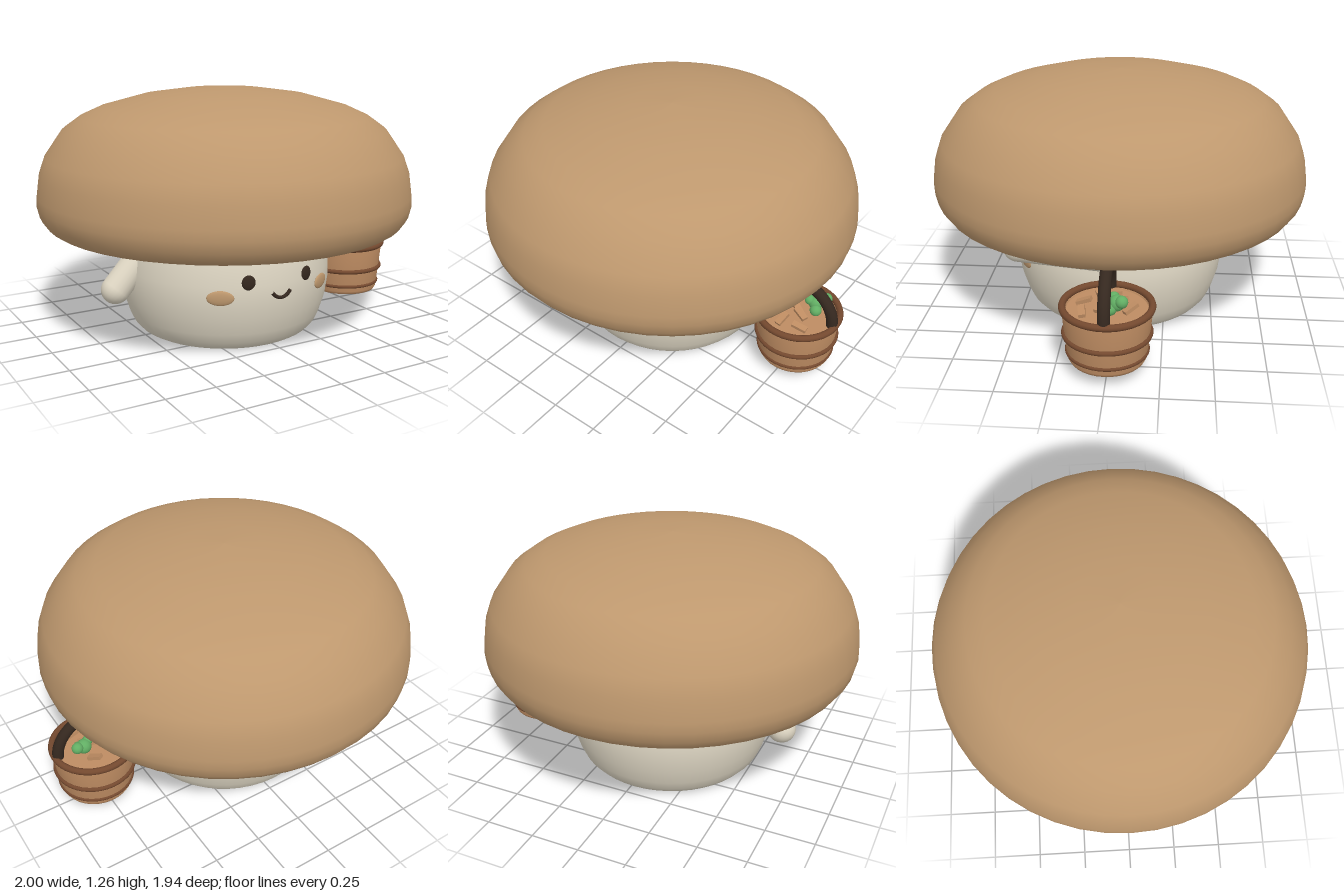
import * as THREE from 'three';

const material = (name, color) => {
  const m = new THREE.MeshStandardMaterial({ color });
  m.name = name;
  return m;
};

export function createModel() {
  const capBrown = material('capBrown', 0xbe986e);
  const cream = material('cream', 0xded6c3);
  const darkBrown = material('darkBrown', 0x35281f);
  const basketTan = material('basketTan', 0xbe8c62);
  const bandBrown = material('bandBrown', 0x74492f);
  const green = material('leafGreen', 0x62ae64);

  const root = new THREE.Group();
  root.name = 'mushroomWithBasket';
  const add = (parent, name, geo, mat, x = 0, y = 0, z = 0) => {
    const mesh = new THREE.Mesh(geo, mat);
    mesh.name = name;
    mesh.position.set(x, y, z);
    parent.add(mesh);
    return mesh;
  };
  const lathe = (pts, segs = 48) =>
    new THREE.LatheGeometry(pts.map(([r, y]) => new THREE.Vector2(r, y)), segs);

  const CX = -0.03; // axis of the cap and body

  // Wide domed cap with a flat underside
  add(root, 'cap', lathe([
    [0, 0.56], [0.86, 0.56], [0.895, 0.561], [0.922, 0.578], [0.955, 0.625], [0.968, 0.68],
    [0.966, 0.73], [0.952, 0.83], [0.92, 0.92], [0.83, 1.05], [0.74, 1.115], [0.64, 1.16],
    [0.42, 1.22], [0.2, 1.25], [0, 1.258],
  ]), capBrown, CX);

  // Stubby body
  const body = [
    [0, 0], [0.42, 0], [0.435, 0.002], [0.46, 0.016], [0.49, 0.05], [0.512, 0.1], [0.537, 0.18],
    [0.55, 0.27], [0.55, 0.35], [0.535, 0.45], [0.505, 0.56], [0.47, 0.62],
  ];
  add(root, 'body', lathe(body), cream, CX);

  // Arms: capsules stretched between two points
  const arm = (name, a, b, r) => {
    const from = new THREE.Vector3(...a), to = new THREE.Vector3(...b);
    const dir = to.clone().sub(from);
    const mesh = add(root, name, new THREE.CapsuleGeometry(r, dir.length(), 8, 20), cream);
    mesh.position.copy(from).add(to).multiplyScalar(0.5);
    mesh.quaternion.setFromUnitVectors(new THREE.Vector3(0, 1, 0), dir.normalize());
  };
  arm('rightArm', [-0.44, 0.51, 0], [-0.658, 0.27, 0], 0.074);
  arm('leftArm', [0.515, 0.455, 0.03], [0.585, 0.53, 0.44], 0.072);

  // Face: thin ovals wrapped to the front of the body
  const oval = (name, mat, dx, y, r, w, h) => {
    const angle = Math.asin(dx / r);
    const mesh = add(root, name, new THREE.SphereGeometry(1, 24, 16), mat,
      CX + dx, y, r * Math.cos(angle));
    mesh.rotation.y = angle;
    mesh.scale.set(w, h, 0.011);
  };
  for (const [side, s] of [['left', 1], ['right', -1]]) {
    oval(side + 'Eye', darkBrown, s * 0.165, 0.372, 0.547, 0.034, 0.037);
    oval(side + 'Cheek', capBrown, s * 0.29, 0.3, 0.551, 0.067, 0.037);
  }
  const smile = new THREE.CatmullRomCurve3([
    [-0.052, 0.314], [-0.03, 0.293], [0, 0.284], [0.03, 0.293], [0.052, 0.314],
  ].map(([x, y]) => new THREE.Vector3(x, y, Math.sqrt(0.556 ** 2 - x * x))));
  add(root, 'smile', new THREE.TubeGeometry(smile, 20, 0.009, 8), darkBrown, CX);

  // Basket with rim, bands and arched handle
  const basket = new THREE.Group();
  basket.name = 'basket';
  basket.position.set(0.773, 0, 0);
  root.add(basket);
  add(basket, 'bucket', lathe([
    [0, 0.066], [0.165, 0.066], [0.178, 0.069], [0.187, 0.085], [0.2, 0.2], [0.213, 0.338],
    [0.198, 0.338], [0.194, 0.32], [0.19, 0.319], [0, 0.319],
  ], 32), basketTan);
  for (const [name, y, r, t] of [
    ['rim', 0.338, 0.209, 0.017], ['middleBand', 0.205, 0.203, 0.012], ['lowerBand', 0.115, 0.19, 0.009],
  ]) {
    add(basket, name, new THREE.TorusGeometry(r, t, 10, 40), bandBrown, 0, y).rotation.x = Math.PI / 2;
  }
  add(basket, 'handle', new THREE.TorusGeometry(0.191, 0.029, 12, 32, Math.PI), darkBrown, 0, 0.337);

  // Wood chips lying in the basket
  [
    [-0.1, 0.04, 0.3], [-0.03, 0.11, 1.4], [0.03, 0.03, -0.4], [-0.06, -0.06, 0.9],
    [0.07, 0.11, 0.1], [0.04, -0.11, 2.2], [-0.13, -0.02, 1.9], [0, 0, 2.6],
  ].forEach(([x, z, turn], i) => {
    const chip = add(basket, 'woodChip', new THREE.BoxGeometry(0.075, 0.018, 0.032), basketTan,
      x, 0.336 + (i % 3) * 0.006, z);
    chip.rotation.set(0.15, turn, i % 2 ? 0.25 : -0.2);
  });

  // Green sprig made of small balls
  for (const [x, y, z, r] of [
    [0.067, 0.388, -0.05, 0.038], [0.112, 0.417, -0.075, 0.029],
    [0.04, 0.402, -0.035, 0.026], [0.085, 0.365, -0.02, 0.03],
  ]) add(basket, 'sprigLeaf', new THREE.SphereGeometry(r, 16, 12), green, x, y, z);

  return root;
}
